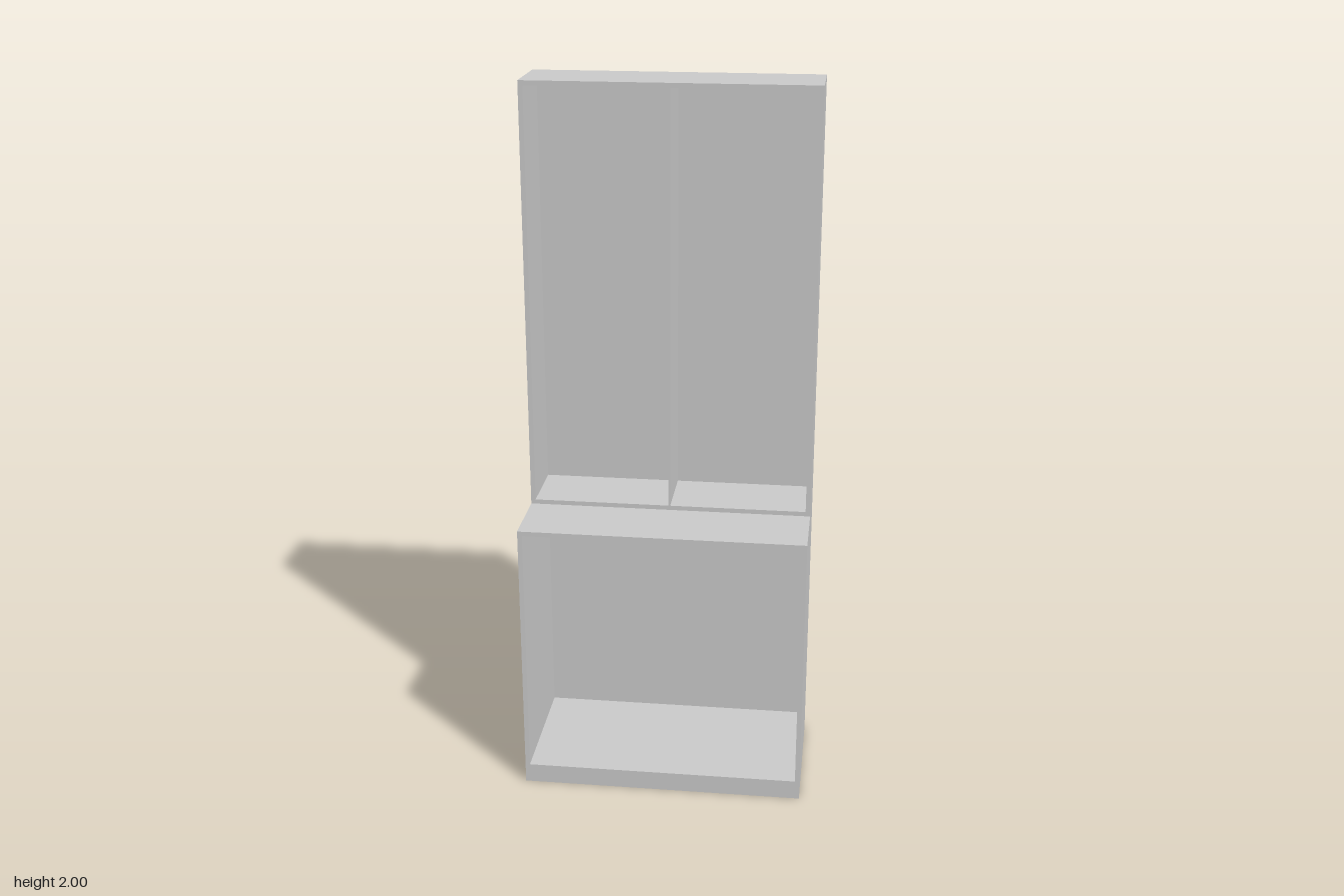
import * as THREE from 'three';

const W = 0.8, H = 2, STEP = 0.8, BACK = -0.2, FRONT = 0.2, MID = 0;
const T = 0.013, BACK_T = 0.01, BASE_H = 0.056, DIVIDER_T = 0.005;

export function createModel() {
  const cabinet = new THREE.Group();
  cabinet.name = 'cabinet';
  const material = new THREE.MeshStandardMaterial({ color: 0xcccccc });

  const add = (name, geometry) => {
    const mesh = new THREE.Mesh(geometry, material);
    mesh.name = name;
    cabinet.add(mesh);
    return mesh;
  };

  // Board given by its extents in x, y and z
  const board = (name, x0, x1, y0, y1, z0, z1) =>
    add(name, new THREE.BoxGeometry(x1 - x0, y1 - y0, z1 - z0))
      .position.set((x0 + x1) / 2, (y0 + y1) / 2, (z0 + z1) / 2);

  // Stepped side panels: deep below, shallow above
  const profile = new THREE.Shape([
    [BACK, 0], [FRONT, 0], [FRONT, STEP], [MID, STEP], [MID, H], [BACK, H],
  ].map(([z, y]) => new THREE.Vector2(-z, y)));
  for (const [name, x] of [['leftSide', W / 2 - T], ['rightSide', -W / 2]]) {
    const panel = new THREE.ExtrudeGeometry(profile, { depth: T, bevelEnabled: false });
    panel.rotateY(Math.PI / 2);
    add(name, panel).position.x = x;
  }

  // Boards held between the sides
  const inner = W / 2 - T, backFace = BACK + BACK_T;
  board('backPanel', -inner, inner, 0, H, BACK, backFace);
  board('base', -inner, inner, 0, BASE_H, backFace, FRONT);
  board('counterTop', -inner, inner, STEP - T, STEP, backFace, FRONT);
  board('upperFloor', -inner, inner, STEP, STEP + T, backFace, MID);
  board('topBoard', -inner, inner, H - T, H, backFace, MID);

  // Thin upright that splits the upper compartment
  board('divider', -DIVIDER_T / 2, DIVIDER_T / 2, STEP + T, H - T, backFace, MID);

  return cabinet;
}
